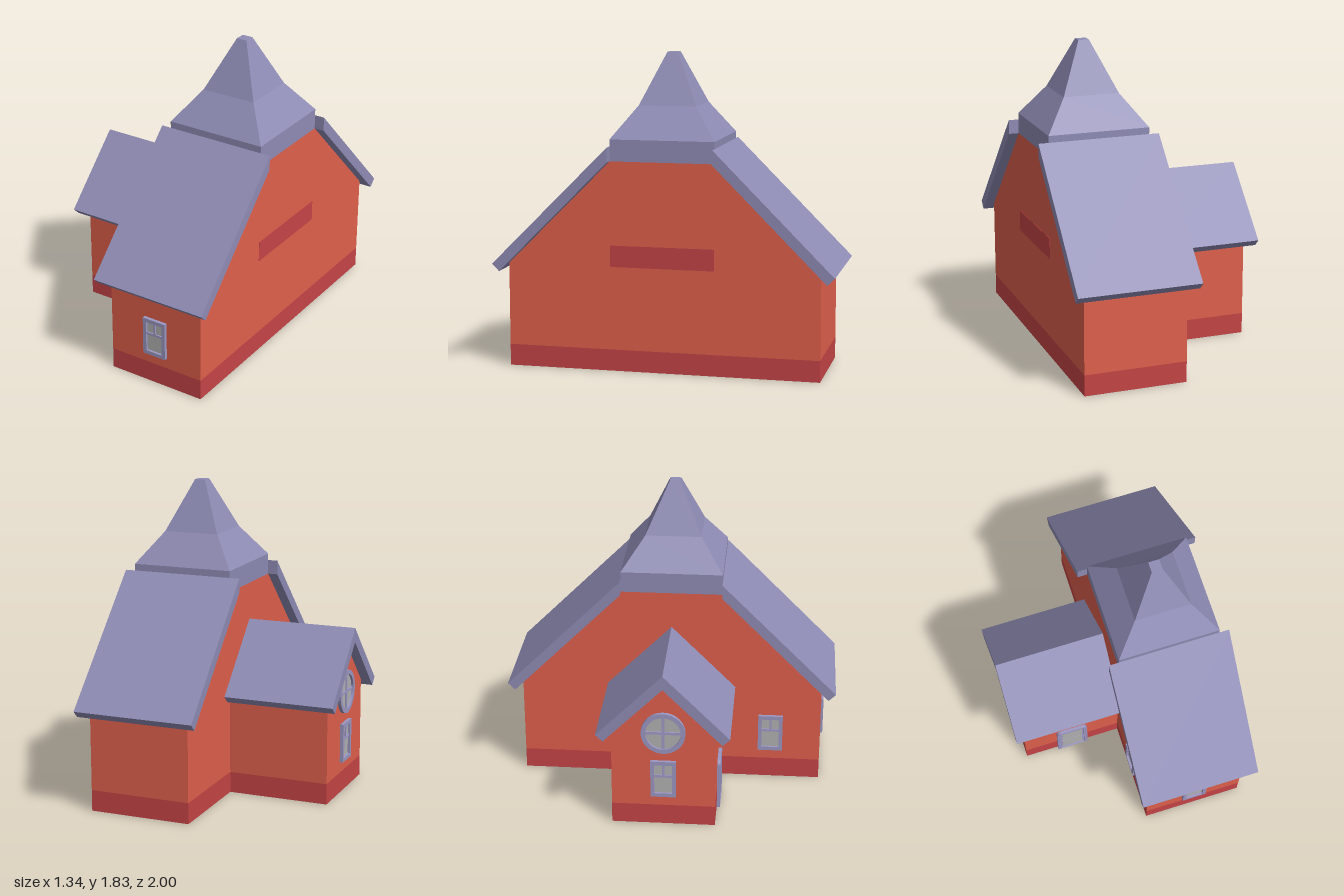
import * as THREE from 'three';

const mat = (color) => new THREE.MeshStandardMaterial({ color, flatShading: true });

export function createModel() {
  const house = new THREE.Group();
  house.name = 'house';
  const wall = mat(0xe0604c), plinth = mat(0xc64446), roof = mat(0x8f8cb5);
  const frame = mat(0x9c97c2), bar = mat(0xa09ac8), glass = mat(0xb2b2b2);

  const add = (parent, name, geometry, material, x = 0, y = 0, z = 0) => {
    const mesh = new THREE.Mesh(geometry, material);
    mesh.name = name;
    mesh.position.set(x, y, z);
    parent.add(mesh);
    return mesh;
  };
  const box = (parent, name, material, w, h, d, x, y, z) =>
    add(parent, name, new THREE.BoxGeometry(w, h, d), material, x, y, z);

  // Extrudes a [z, y] profile along x, from x0 to x1
  const alongX = (name, profile, x0, x1, material) => {
    const shape = new THREE.Shape(profile.map(([z, y]) => new THREE.Vector2(z, y)));
    const g = new THREE.ExtrudeGeometry(shape, { depth: x1 - x0, bevelEnabled: false });
    g.rotateY(-Math.PI / 2);
    return add(house, name, g, material, x1, 0, 0);
  };

  // Plinths and walls of the main hall and the side wing
  box(house, 'hallPlinth', plinth, 0.61, 0.125, 1.83, 0.305, 0.0625, 0);
  box(house, 'wingPlinth', plinth, 0.61, 0.125, 0.61, -0.305, 0.0625, 0);
  alongX('hallWalls', [[-0.915, 0.125], [0.915, 0.125], [0.915, 0.61],
    [0.305, 1.22], [-0.305, 1.22], [-0.915, 0.61]], 0, 0.61, wall);
  alongX('wingWalls', [[-0.305, 0.125], [0.305, 0.125], [0.305, 0.61],
    [0, 0.915], [-0.305, 0.61]], -0.61, 0, wall);
  box(house, 'wallBand', plinth, 0.004, 0.125, 0.61, 0.61, 0.6725, 0);

  // Mirrored 45 degree roof slabs
  for (const s of [1, -1]) {
    const slab = (points) => points.map(([z, y]) => [s * z, y]);
    alongX('hallRoof', slab([[0.305, 1.22], [0.957, 0.568], [1, 0.61], [0.305, 1.305]]),
      -0.06, 0.67, roof);
    alongX('wingRoof', slab([[0, 0.915], [0.347, 0.568], [0.39, 0.61], [0, 1]]),
      -0.67, 0, roof);
  }

  // Tower base and four-sided flared spire
  box(house, 'towerBase', roof, 0.61, 0.125, 0.61, 0.305, 1.2825, 0);
  const spireProfile = [[0.305, 1.345], [0.168, 1.53], [0.032, 1.83], [0, 1.83]]
    .map(([r, y]) => new THREE.Vector2(r * Math.SQRT2, y));
  add(house, 'spire', new THREE.LatheGeometry(spireProfile, 4, Math.PI / 4), roof, 0.305, 0, 0);

  // Frame of an outline with a hole, standing 0.02 proud of the wall
  const frameGeometry = (outer, hole) => {
    outer.holes.push(hole);
    return new THREE.ExtrudeGeometry(outer, { depth: 0.02, bevelEnabled: false, curveSegments: 16 });
  };
  // Rectangle outline with optional rounded top corners
  const outline = (w, y0, y1, r = 0) => {
    const s = new THREE.Shape();
    s.moveTo(-w / 2, y0);
    s.lineTo(w / 2, y0);
    s.lineTo(w / 2, y1 - r);
    if (r) s.absarc(w / 2 - r, y1 - r, r, 0, Math.PI / 2);
    else s.lineTo(w / 2, y1);
    s.lineTo(-w / 2 + r, y1);
    if (r) s.absarc(-w / 2 + r, y1 - r, r, Math.PI / 2, Math.PI);
    return s;
  };
  const opening = (name, x, y, z, turn) => {
    const g = new THREE.Group();
    g.name = name;
    g.position.set(x, y, z);
    g.rotation.y = turn;
    house.add(g);
    return g;
  };

  // Small window with a T of glazing bars
  const windowAt = (name, x, z, turn) => {
    const g = opening(name, x, 0.3075, z, turn);
    add(g, 'windowFrame', frameGeometry(outline(0.15, -0.1175, 0.1175),
      outline(0.106, -0.094, 0.094)), frame);
    box(g, 'glass', glass, 0.106, 0.188, 0.006, 0, 0, 0.003);
    box(g, 'crossBar', bar, 0.106, 0.015, 0.014, 0, 0.018, 0.007);
    box(g, 'uprightBar', bar, 0.013, 0.07, 0.014, 0, 0.059, 0.007);
  };
  windowAt('frontWindow', 0.305, 0.915, 0);
  windowAt('sideWindow', 0, 0.61, -Math.PI / 2);
  windowAt('wingWindow', -0.61, 0, -Math.PI / 2);

  // Round gable window with crossed bars
  const round = opening('roundWindow', -0.61, 0.61, 0, -Math.PI / 2);
  const disc = (r) => new THREE.Shape().absarc(0, 0, r, 0, Math.PI * 2);
  add(round, 'roundFrame', frameGeometry(disc(0.13), disc(0.103)), frame);
  const pane = new THREE.CylinderGeometry(0.105, 0.105, 0.006, 32).rotateX(Math.PI / 2);
  add(round, 'roundGlass', pane, glass, 0, 0, 0.003);
  box(round, 'crossBar', bar, 0.208, 0.016, 0.014, 0, 0, 0.007);
  box(round, 'uprightBar', bar, 0.016, 0.208, 0.014, 0, 0, 0.007);

  // Glazed door in the front of the wing
  const door = opening('door', -0.305, 0, 0.305, 0);
  add(door, 'doorFrame', frameGeometry(outline(0.196, 0, 0.313, 0.03),
    outline(0.154, 0.003, 0.292)), frame);
  box(door, 'doorLeaf', bar, 0.154, 0.289, 0.01, 0, 0.1475, 0.005);
  for (const y of [0.076, 0.215]) box(door, 'doorPane', glass, 0.13, 0.127, 0.004, 0, y, 0.01);

  return house;
}
